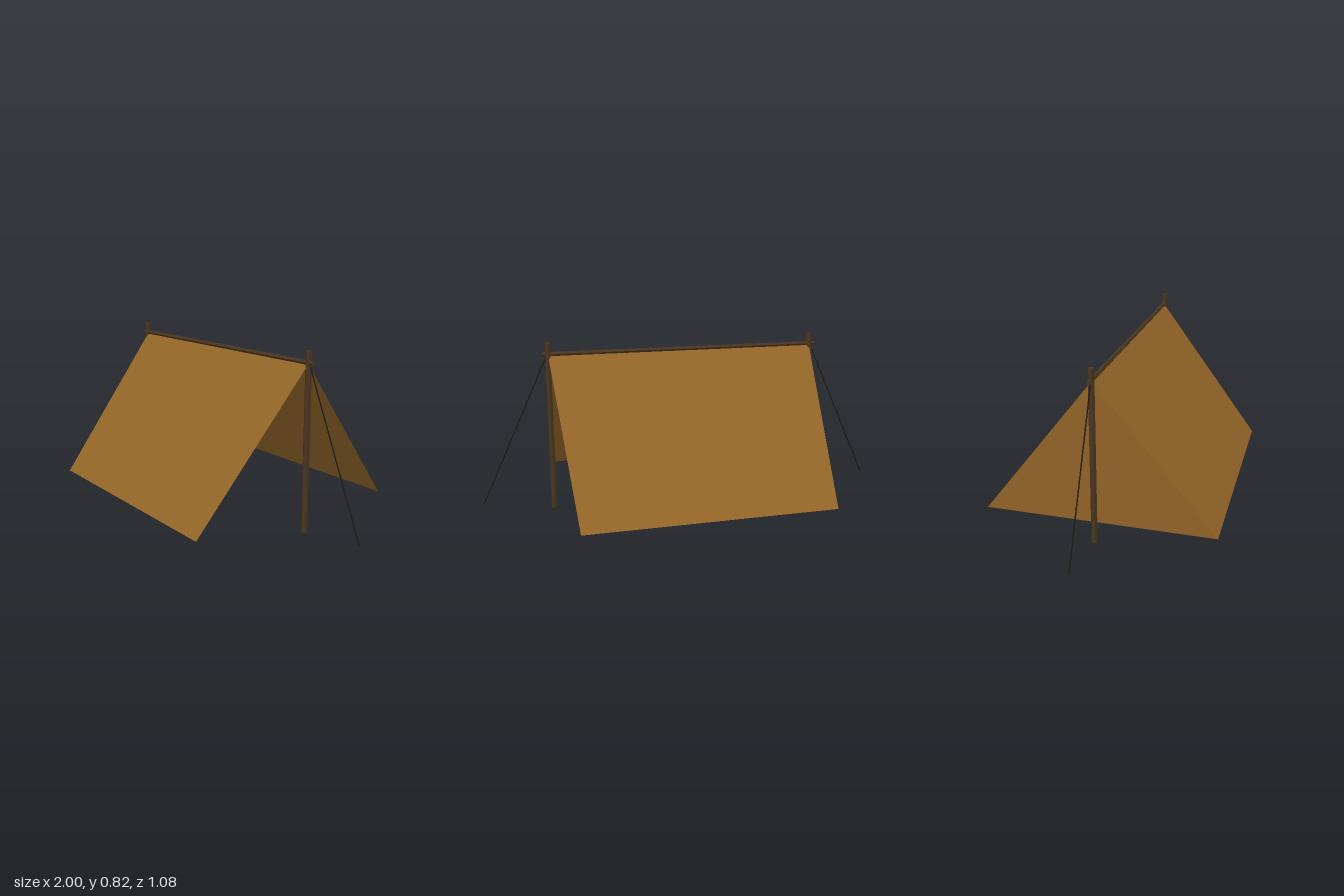
import * as THREE from 'three';

function material(name, color, extra = {}) {
  const m = new THREE.MeshStandardMaterial({ color, flatShading: true, ...extra });
  m.name = name;
  return m;
}

export function createModel() {
  const canvas = material('canvas', 0x946628, { side: THREE.DoubleSide });
  const wood = material('wood', 0x4a3520);
  const rope = material('rope', 0x1c1712);
  const blanket = material('red blanket', 0x760f10);

  const model = new THREE.Group();
  model.name = 'tent';

  const add = (name, geometry, mat) => {
    const mesh = new THREE.Mesh(geometry, mat);
    mesh.name = name;
    model.add(mesh);
    return mesh;
  };

  // Straight round bar between two points
  const bar = (name, a, b, radius, sides, mat) => {
    const from = new THREE.Vector3(...a), to = new THREE.Vector3(...b);
    const dir = to.clone().sub(from);
    const mesh = add(name, new THREE.CylinderGeometry(radius, radius, dir.length(), sides), mat);
    mesh.position.copy(from).add(to).multiplyScalar(0.5);
    mesh.quaternion.setFromUnitVectors(new THREE.Vector3(0, 1, 0), dir.normalize());
    return mesh;
  };

  // Flat cloth panel from a fan of corners
  const panel = (name, corners) => {
    const points = [];
    for (let i = 1; i < corners.length - 1; i++) points.push(...corners[0], ...corners[i], ...corners[i + 1]);
    const g = new THREE.BufferGeometry();
    g.setAttribute('position', new THREE.Float32BufferAttribute(points, 3));
    g.computeVertexNormals();
    return add(name, g, canvas);
  };

  // Two roof slopes, narrowing towards the hem
  const ridgeY = 0.757, hemY = 0.063, ridgeX = 0.663, hemX = 0.603, hemZ = 0.541;
  panel('frontSlope', [[-hemX, hemY, hemZ], [hemX, hemY, hemZ], [ridgeX, ridgeY, 0], [-ridgeX, ridgeY, 0]]);
  panel('backSlope', [[hemX, hemY, -hemZ], [-hemX, hemY, -hemZ], [-ridgeX, ridgeY, 0], [ridgeX, ridgeY, 0]]);

  // Closed end; the other end stays open
  panel('endPanel', [[-hemX, hemY, -hemZ], [-hemX, hemY, hemZ], [-ridgeX, ridgeY, 0]]);

  // Ridge pole, upright poles and guy ropes
  bar('ridgePole', [-0.692, 0.763, 0], [0.692, 0.763, 0], 0.0105, 6, wood);
  for (const [side, s] of [['left', 1], ['right', -1]]) {
    bar(side + 'Pole', [s * 0.664, 0, 0], [s * 0.664, 0.816, 0], 0.0145, 6, wood);
    bar(side + 'GuyRope', [s * 0.667, 0.763, 0], [s * 0.998, 0.048, 0], 0.003, 5, rope);
  }

  // Rolled bedding inside
  const roll = add('bedroll', new THREE.CylinderGeometry(0.041, 0.041, 0.45, 7), blanket);
  roll.rotation.z = Math.PI / 2;
  roll.position.set(0.045, 0.1, 0.182);

  return model;
}
